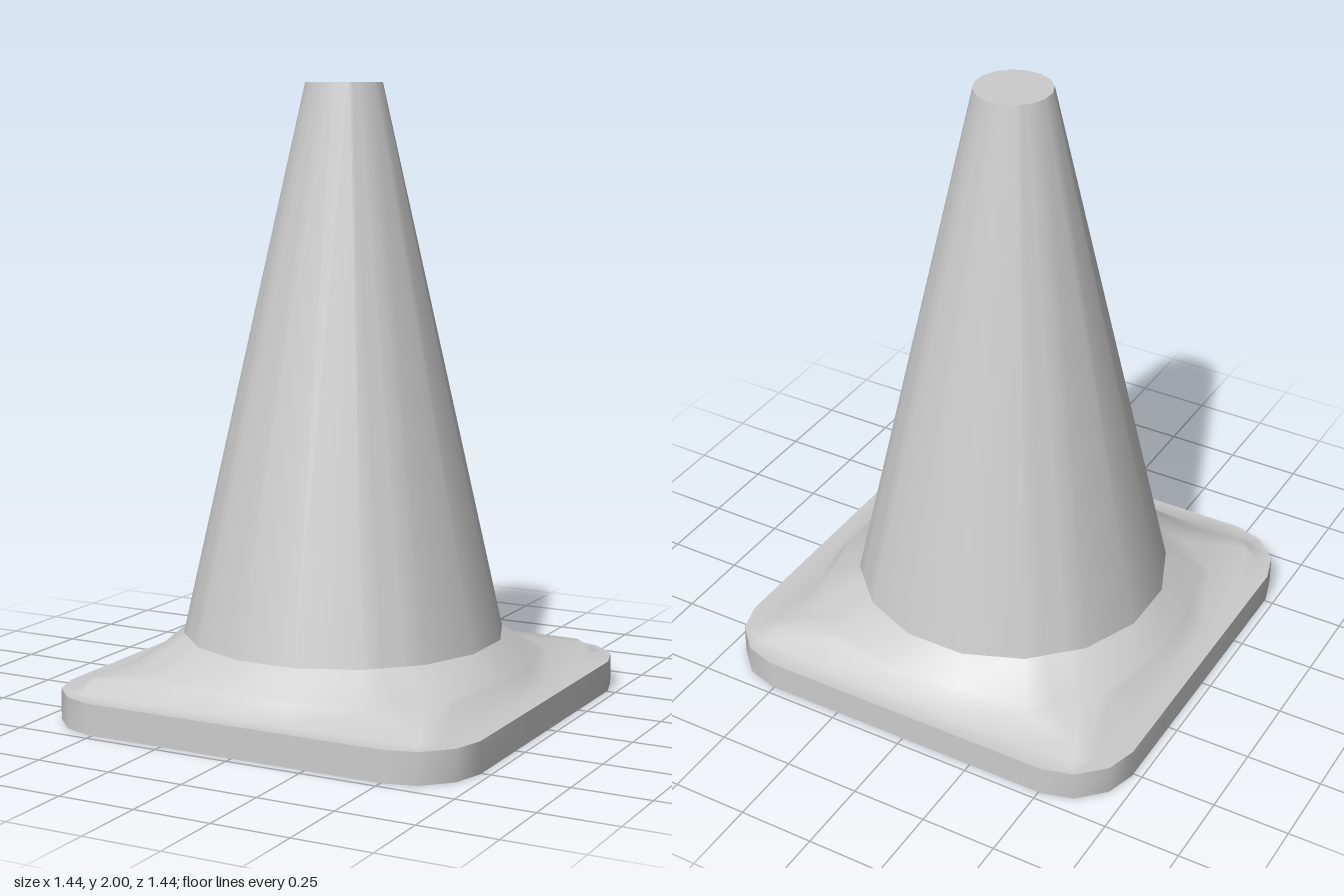
import * as THREE from 'three';

const STEP = Math.PI / 8;

// Mirror three [x, z, y] points of one octant into a closed 24-point ring.
function ring(octant) {
  const quadrant = [...octant, ...octant.map(([x, z, y]) => [z, x, y]).reverse()];
  const points = [];
  for (let q = 0; q < 4; q++) {
    for (const [x, z, y] of quadrant) {
      const [rx, rz] = [[x, z], [-z, x], [-x, -z], [z, -x]][q];
      points.push([rx, y, rz]);
    }
  }
  return points;
}

// Sixteen-sided circle; the extra points lie on its diagonal facets.
function circle(r, y) {
  const at = (a) => [r * Math.cos(a), r * Math.sin(a)];
  const [x0, z0] = at(STEP / 2);
  const [x1, z1] = at(STEP * 1.5);
  const t = 1 / 3;
  return ring([[x0, z0, y], [x1, z1, y], [x1 + (z1 - x1) * t, z1 + (x1 - z1) * t, y]]);
}

// Square with rounded corners, as used by the foot plate.
const plate = (y) => ring([[0.72, 0.14, y], [0.72, 0.51, y], [0.69, 0.61, y]]);

// Smooth skin through a list of rings.
function loft(rings) {
  const n = rings[0].length;
  const index = [];
  for (let k = 0; k < rings.length - 1; k++) {
    for (let i = 0; i < n; i++) {
      const j = (i + 1) % n;
      const a = k * n + i, b = k * n + j, c = a + n, d = b + n;
      index.push(a, c, b, b, c, d);
    }
  }
  const geometry = new THREE.BufferGeometry();
  geometry.setAttribute('position', new THREE.Float32BufferAttribute(rings.flat(2), 3));
  geometry.setIndex(index);
  geometry.computeVertexNormals();
  return geometry;
}

function disc(r, y, up) {
  return new THREE.CircleGeometry(r, 16, STEP / 2)
    .rotateX(up ? -Math.PI / 2 : Math.PI / 2)
    .translate(0, y, 0);
}

export function createModel() {
  const group = new THREE.Group();
  group.name = 'trafficCone';
  const material = new THREE.MeshStandardMaterial({ color: 0xcccccc });
  const add = (name, geometry) => {
    const mesh = new THREE.Mesh(geometry, material);
    mesh.name = name;
    group.add(mesh);
  };

  // Tapered body and its flat tip
  add('coneBody', loft([circle(0.52, 0.24), circle(0.123, 2)]));
  add('coneTip', disc(0.123, 2, true));

  // Skirt: flat ledge, foot, raised corner shelves, and the slope up to the body
  add('skirt', loft([
    plate(0.1),
    ring([[0.65, 0.13, 0.1], [0.65, 0.42, 0.1], [0.64, 0.585, 0.1]]),
    ring([[0.605, 0.12, 0.155], [0.565, 0.375, 0.15], [0.605, 0.57, 0.138]]),
    ring([[0.595, 0.118, 0.165], [0.54, 0.36, 0.157], [0.48, 0.42, 0.157]]),
    circle(0.52, 0.24),
  ]));

  // Vertical rim of the foot plate
  add('baseRim', loft([plate(0), plate(0.1)]));

  // Hollow inside, blending over its lip into the underside
  add('hollowAndUnderside', loft([circle(0.1, 1.96), circle(0.47, 0), circle(0.54, 0), plate(0)]));
  add('hollowCeiling', disc(0.1, 1.96, false));

  return group;
}
